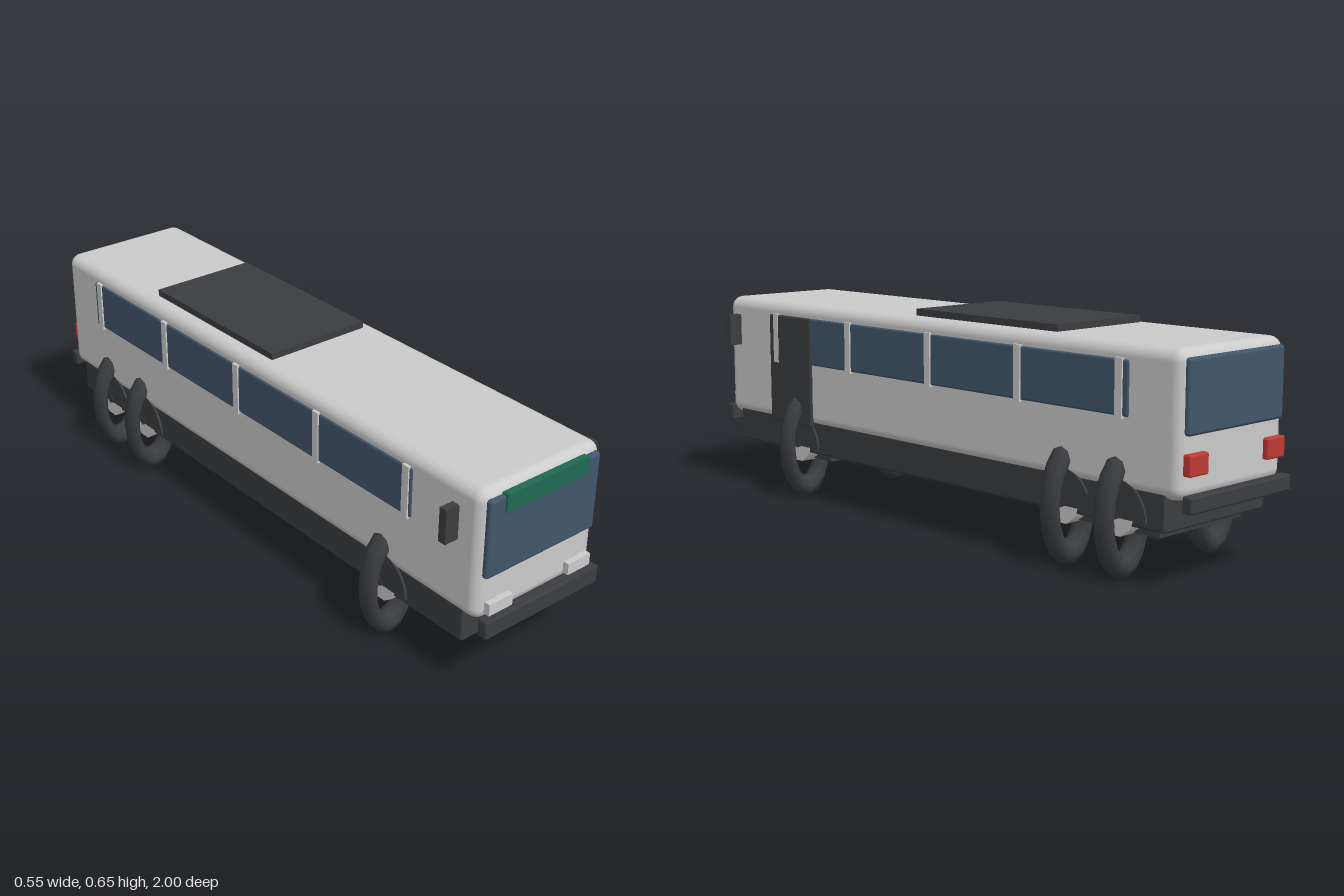
import * as THREE from 'three';
import { RoundedBoxGeometry } from 'three/addons/geometries/RoundedBoxGeometry.js';

const mat = (color) => new THREE.MeshStandardMaterial({ color });
const paint = mat(0xcccccc);
const dark = mat(0x3b3d40);
const glass = mat(0x42566a);
const green = mat(0x1f6a52);
const red = mat(0xc03a36);
const lamp = mat(0xf4f4f4);

export function createModel() {
  const bus = new THREE.Group();
  bus.name = 'bus';

  // Box given by its extents; r > 0 rounds the edges
  function box(name, material, [x0, x1], [y0, y1], [z0, z1], r = 0) {
    const size = [x1 - x0, y1 - y0, z1 - z0];
    const geo = r ? new RoundedBoxGeometry(...size, 3, r) : new THREE.BoxGeometry(...size);
    const mesh = new THREE.Mesh(geo, material);
    mesh.name = name;
    mesh.position.set((x0 + x1) / 2, (y0 + y1) / 2, (z0 + z1) / 2);
    bus.add(mesh);
    return mesh;
  }
  // Same box on both sides, measured outward from the centre line
  function pair(name, material, [x0, x1], y, z, r = 0) {
    box(name + 'Left', material, [x0, x1], y, z, r);
    box(name + 'Right', material, [-x1, -x0], y, z, r);
  }

  // Body shell, chassis skirt and roof unit
  box('body', paint, [-0.216, 0.216], [0.24, 0.63], [-0.967, 0.967], 0.035);
  box('skirt', dark, [-0.21, 0.21], [0.153, 0.26], [-0.915, 0.915], 0.008);
  box('roofUnit', dark, [-0.17, 0.17], [0.62, 0.65], [-0.5, 0.07]);

  // Front end
  box('windshield', glass, [-0.199, 0.199], [0.375, 0.608], [0.955, 0.978], 0.01);
  box('destinationSign', green, [-0.148, 0.148], [0.56, 0.612], [0.96, 0.983]);
  box('frontBumper', dark, [-0.21, 0.21], [0.207, 0.262], [0.967, 1], 0.006);
  pair('headlight', lamp, [0.104, 0.188], [0.266, 0.301], [0.955, 0.985]);

  // Rear end
  box('rearWindow', glass, [-0.199, 0.199], [0.41, 0.608], [-0.977, -0.955], 0.01);
  box('rearBumper', dark, [-0.21, 0.21], [0.217, 0.262], [-1, -0.967], 0.006);
  pair('tailLight', red, [0.125, 0.2], [0.308, 0.366], [-0.985, -0.955], 0.006);

  // Side windows with pillars, door on the left flank, mirrors
  pair('sideWindow', glass, [0.2, 0.221], [0.44, 0.588], [-0.795, 0.715], 0.006);
  for (let i = 0; i < 5; i++) {
    const z = -0.765 + i * 0.365;
    pair('pillar' + i, paint, [0.2, 0.2255], [0.434, 0.592], [z - 0.012, z + 0.012]);
  }
  box('door', dark, [0.195, 0.224], [0.24, 0.588], [0.518, 0.73], 0.006);
  pair('mirror', dark, [0.231, 0.275], [0.476, 0.576], [0.876, 0.901]);

  // Wheels: upright oval tyre rings set across the bus, with hubs and arches
  const tyreGeo = new THREE.TorusGeometry(0.137, 0.035, 8, 16).scale(0.515, 1, 1);
  const hubGeo = new THREE.CylinderGeometry(0.06, 0.06, 0.053, 10).rotateZ(Math.PI / 2);
  const capGeo = new THREE.CylinderGeometry(0.014, 0.014, 0.012, 8).rotateZ(Math.PI / 2);
  const archGeo = new THREE.CylinderGeometry(0.107, 0.107, 0.02, 16, 1, false, 0, Math.PI)
    .rotateZ(Math.PI / 2);
  const archShape = new THREE.Shape();
  archShape.absarc(0, 0, 0.105, 0, Math.PI, false);
  archShape.closePath();
  const arch = new THREE.ExtrudeGeometry(archShape, { depth: 0.02, bevelEnabled: false, curveSegments: 12 })
    .rotateY(Math.PI / 2);
  archGeo.dispose();

  [0.6, -0.56, -0.752].forEach((z, i) => {
    box('axleHousing' + i, dark, [-0.172, 0.172], [0.128, 0.2], [z - 0.115, z + 0.115]);
    for (const s of [1, -1]) {
      const wheel = new THREE.Group();
      wheel.name = (s > 0 ? 'leftWheel' : 'rightWheel') + i;
      const add = (name, geo, material, x, y) => {
        const mesh = new THREE.Mesh(geo, material);
        mesh.name = name;
        mesh.position.set(x, y, 0);
        wheel.add(mesh);
      };
      add('tyre', tyreGeo, dark, s * 0.1875, 0.172);
      add('hub', hubGeo, paint, s * 0.187, 0.179);
      add('hubCap', capGeo, dark, s * 0.213, 0.179);
      add('arch', arch, dark, s > 0 ? 0.1975 : -0.2175, 0.172);
      wheel.position.z = z;
      bus.add(wheel);
    }
  });

  return bus;
}
